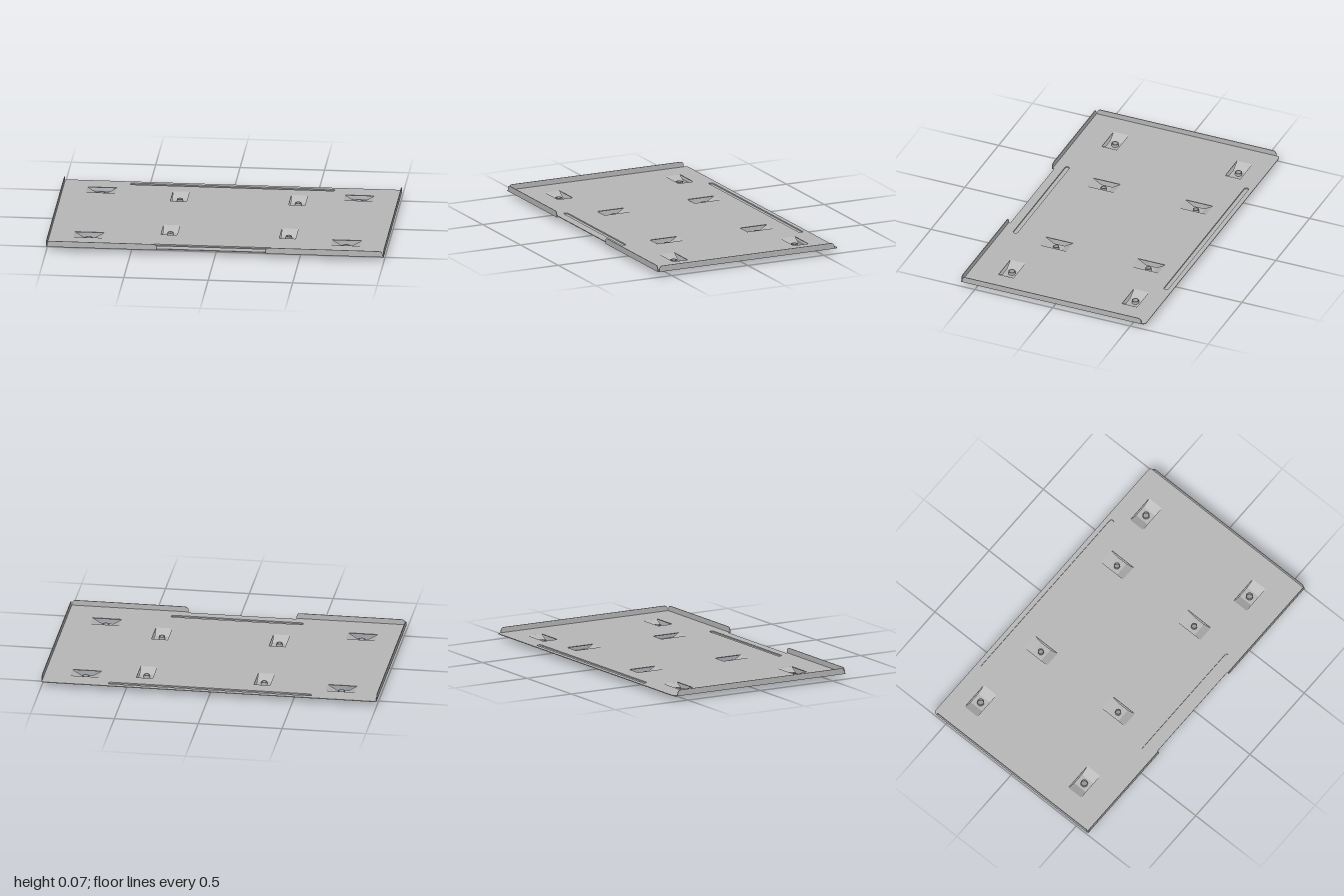
import * as THREE from 'three';

const T = 0.004;        // sheet thickness
const TOP = 0.036;      // top face of the sheet
const RIM = 0.068;      // top of the upturned flanges

const steel = new THREE.MeshStandardMaterial({ color: 0xb6b6b6 });
steel.name = 'sheet steel';

function part(name, geometry, parent) {
  const mesh = new THREE.Mesh(geometry, steel);
  mesh.name = name;
  parent.add(mesh);
  return mesh;
}

const extrude = (shape, depth) =>
  new THREE.ExtrudeGeometry(shape, { depth, bevelEnabled: false, curveSegments: 10 });

// Horizontal slab: shape (x, y) lies in (x, z) and goes down from y = top
const slab = (shape, top, depth) =>
  extrude(shape, depth).rotateX(Math.PI / 2).translate(0, top, 0);

function polygon(points, Type = THREE.Shape) {
  return new Type(points.map(([x, y]) => new THREE.Vector2(x, y)));
}

function rect(cx, cy, hw, hh, Type) {
  return polygon([[cx - hw, cy - hh], [cx + hw, cy - hh], [cx + hw, cy + hh], [cx - hw, cy + hh]], Type);
}

function circle(r) {
  const p = new THREE.Path();
  p.absarc(0, 0, r, 0, Math.PI * 2, true);
  return p;
}

// Long slot with round ends
function stadium(x0, x1, z, r, Type = THREE.Shape) {
  const s = new Type();
  s.absarc(x1 - r, z, r, -Math.PI / 2, Math.PI / 2, false);
  s.absarc(x0 + r, z, r, Math.PI / 2, Math.PI * 1.5, false);
  s.closePath();
  return s;
}

// Upright strip from a to b with rounded upper corners
function flangeShape(a, b, ra, rb) {
  const y0 = TOP - T;
  const s = new THREE.Shape();
  s.moveTo(a, y0);
  s.lineTo(b, y0);
  s.lineTo(b, RIM - rb);
  s.quadraticCurveTo(b, RIM, b - rb, RIM);
  s.lineTo(a + ra, RIM);
  s.quadraticCurveTo(a, RIM, a, RIM - ra);
  s.closePath();
  return s;
}

// Pressed-down bridge with a collared screw hole, running along x
const HALF = 0.088, FLAT = 0.035, WIDE = 0.048;
function bridge(holeRadius) {
  const g = new THREE.Group();
  const floor = rect(0, 0, FLAT, WIDE);
  floor.holes.push(circle(holeRadius));
  part('bridgeFloor', slab(floor, T, T), g);
  for (const s of [-1, 1]) {
    const points = [[s * FLAT, 0], [s * HALF, TOP - T], [s * HALF, TOP], [s * FLAT, T]];
    const slope = extrude(polygon(points), WIDE * 2).translate(0, 0, -WIDE);
    part('bridgeSlope', slope, g);
  }
  const ro = holeRadius + 0.004;
  const profile = [[holeRadius, T], [ro, T], [ro, 0.021], [holeRadius, 0.021], [holeRadius, T]]
    .map(([x, y]) => new THREE.Vector2(x, y));
  const collar = new THREE.LatheGeometry(profile, 24).toNonIndexed();
  collar.computeVertexNormals();
  part('screwCollar', collar, g);
  return g;
}

export function createModel() {
  const model = new THREE.Group();
  model.name = 'mountingTray';

  // Bridge positions: x, z, turned to run along z
  const bridges = [];
  for (const z of [-0.427, 0.367]) for (const x of [-0.767, 0.758]) bridges.push([x, z, false]);
  for (const z of [-0.357, 0.236]) for (const x of [-0.296, 0.405]) bridges.push([x, z, true]);

  // Stiffening grooves: x0, x1, z
  const grooves = [[-0.608, 0.603, -0.552], [-0.398, 0.391, 0.509]];

  // Base sheet with clipped rear corners and a front notch
  const r = 0.025, back = -0.594, front = 0.59, notch = 0.576;
  const sheet = new THREE.Shape();
  sheet.moveTo(-1, front);
  sheet.lineTo(-1, back + r);
  sheet.quadraticCurveTo(-1, back, -1 + r, back);
  sheet.lineTo(1 - r, back);
  sheet.quadraticCurveTo(1, back, 1, back + r);
  sheet.lineTo(1, front);
  sheet.lineTo(0.3, front);
  sheet.lineTo(0.3, notch);
  sheet.lineTo(-0.345, notch);
  sheet.lineTo(-0.345, front);
  sheet.closePath();
  for (const [x, z, turned] of bridges) {
    sheet.holes.push(rect(x, z, turned ? WIDE : HALF, turned ? HALF : WIDE, THREE.Path));
  }
  for (const [x0, x1, z] of grooves) sheet.holes.push(stadium(x0, x1, z, 0.014, THREE.Path));
  part('baseSheet', slab(sheet, TOP, T), model);

  // Bridges
  for (const [x, z, turned] of bridges) {
    const b = bridge(turned ? 0.014 : 0.017);
    b.name = turned ? 'innerBridge' : 'outerBridge';
    b.position.set(x, 0, z);
    if (turned) b.rotation.y = Math.PI / 2;
    model.add(b);
  }

  // Groove walls and floors
  for (const [x0, x1, z] of grooves) {
    const wall = stadium(x0 - 0.003, x1 + 0.003, z, 0.017);
    wall.holes.push(stadium(x0, x1, z, 0.014, THREE.Path));
    part('grooveWall', slab(wall, TOP - T, 0.003), model);
    part('grooveFloor', slab(stadium(x0 - 0.003, x1 + 0.003, z, 0.017), 0.029, 0.003), model);
  }

  // Side flanges
  for (const s of [-1, 1]) {
    const geo = extrude(flangeShape(-0.57, 0.582, 0.026, 0.026), T).rotateY(-Math.PI / 2);
    const side = part(s > 0 ? 'leftFlange' : 'rightFlange', geo, model);
    side.position.x = s > 0 ? 1 : -1 + T;
  }

  // Front flanges either side of the notch
  for (const [name, a, b] of [['frontRightFlange', -0.993, -0.345], ['frontLeftFlange', 0.3, 0.993]]) {
    part(name, extrude(flangeShape(a, b, 0.024, 0.024), T), model).position.z = front - T;
  }

  return model;
}
